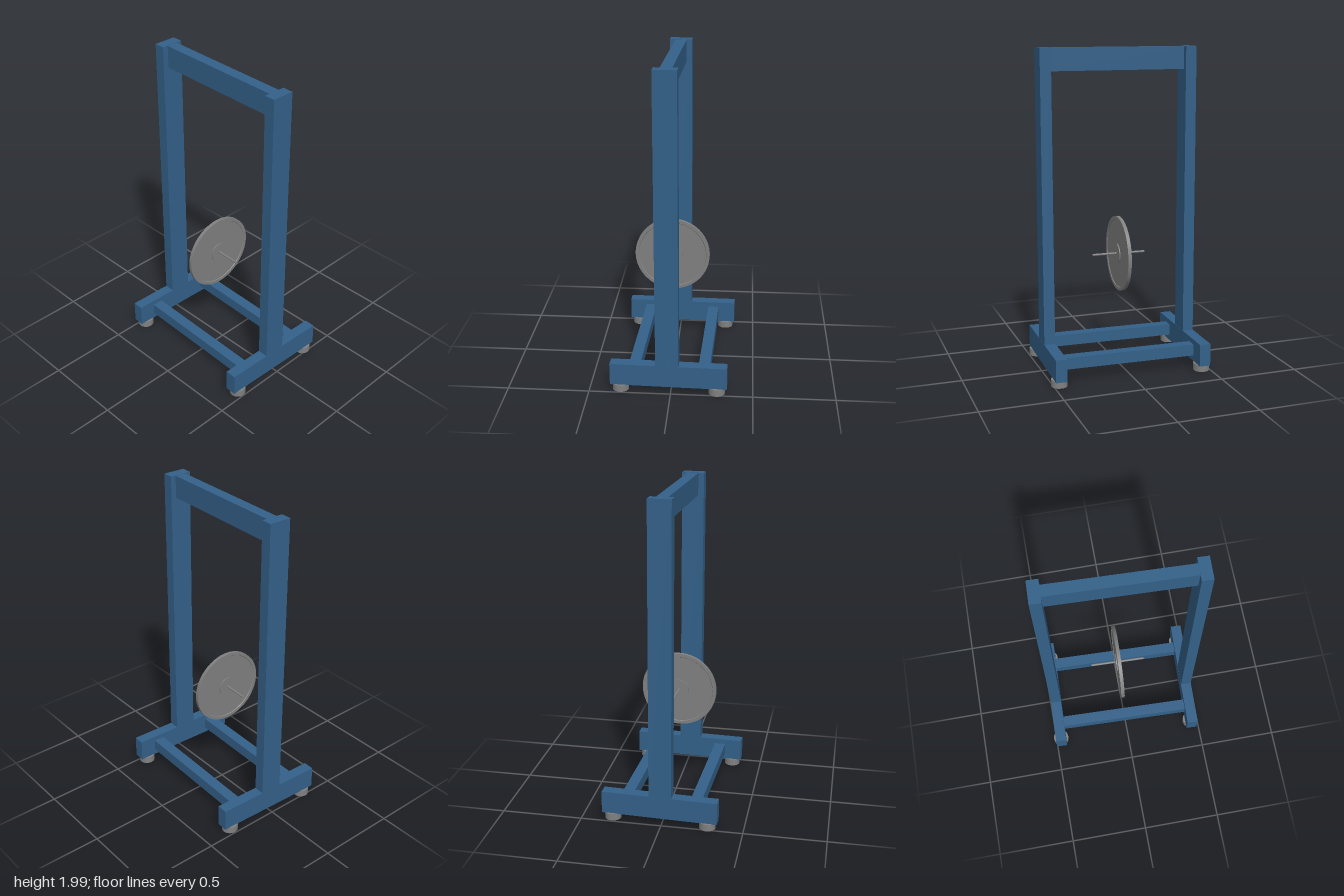
import * as THREE from 'three';

export function createModel() {
  const model = new THREE.Group();
  model.name = 'wheelStand';
  const blue = new THREE.MeshStandardMaterial({ color: 0x336088 });
  const grey = new THREE.MeshStandardMaterial({ color: 0x808080 });

  const add = (parent, name, geometry, material, x, y, z) => {
    const mesh = new THREE.Mesh(geometry, material);
    mesh.name = name;
    mesh.position.set(x, y, z);
    parent.add(mesh);
    return mesh;
  };
  const beam = (name, w, h, d, x, y, z) =>
    add(model, name, new THREE.BoxGeometry(w, h, d), blue, x, y, z);

  // End frames: cross foot, upright post and two round pads each
  const endZ = 0.457;
  for (const [end, s] of [['front', 1], ['rear', -1]]) {
    beam(end + 'Foot', 0.715, 0.14, 0.07, 0, 0.12, s * endZ);
    beam(end + 'Post', 0.14, 1.81, 0.068, -0.007, 1.095, s * endZ);
    for (const [side, m] of [['Left', 1], ['Right', -1]]) {
      add(model, end + side + 'Pad', new THREE.CylinderGeometry(0.05, 0.05, 0.044, 40),
        grey, m * 0.295, 0.03, s * endZ);
    }
  }

  // Long members joining the end frames
  const span = 2 * (endZ - 0.034);
  beam('topBeam', 0.07, 0.138, span, -0.006, 1.929, 0);
  beam('leftRail', 0.07, 0.072, span, 0.214, 0.122, 0);
  beam('rightRail', 0.07, 0.072, span, -0.214, 0.122, 0);

  // Wheel: raised rim, recessed web and hub turned as one profile about its axle
  const wheel = new THREE.Group();
  wheel.name = 'wheel';
  wheel.position.set(-0.022, 0.715, -0.016);
  wheel.rotation.x = Math.PI / 2;
  model.add(wheel);
  const half = [[0, 0.014], [0.062, 0.014], [0.062, 0.007], [0.212, 0.007], [0.215, 0.011], [0.235, 0.011]];
  const profile = [
    ...half.map(([r, y]) => [r, -y]),
    ...[...half].reverse(),
  ];
  // Each profile segment is turned separately so its edges stay sharp
  for (let i = 0; i < profile.length - 1; i++) {
    const pts = [profile[i], profile[i + 1]].map(([r, y]) => new THREE.Vector2(r, y));
    add(wheel, 'wheelSurface', new THREE.LatheGeometry(pts, 72), grey, 0, 0, 0);
  }
  add(wheel, 'axle', new THREE.CylinderGeometry(0.007, 0.007, 0.34, 20), grey, 0, 0, 0);

  // The stand is turned a little and leans very slightly
  model.rotation.set(0, -0.031, 0.004, 'ZYX');
  model.position.y = 0.001;
  return model;
}
